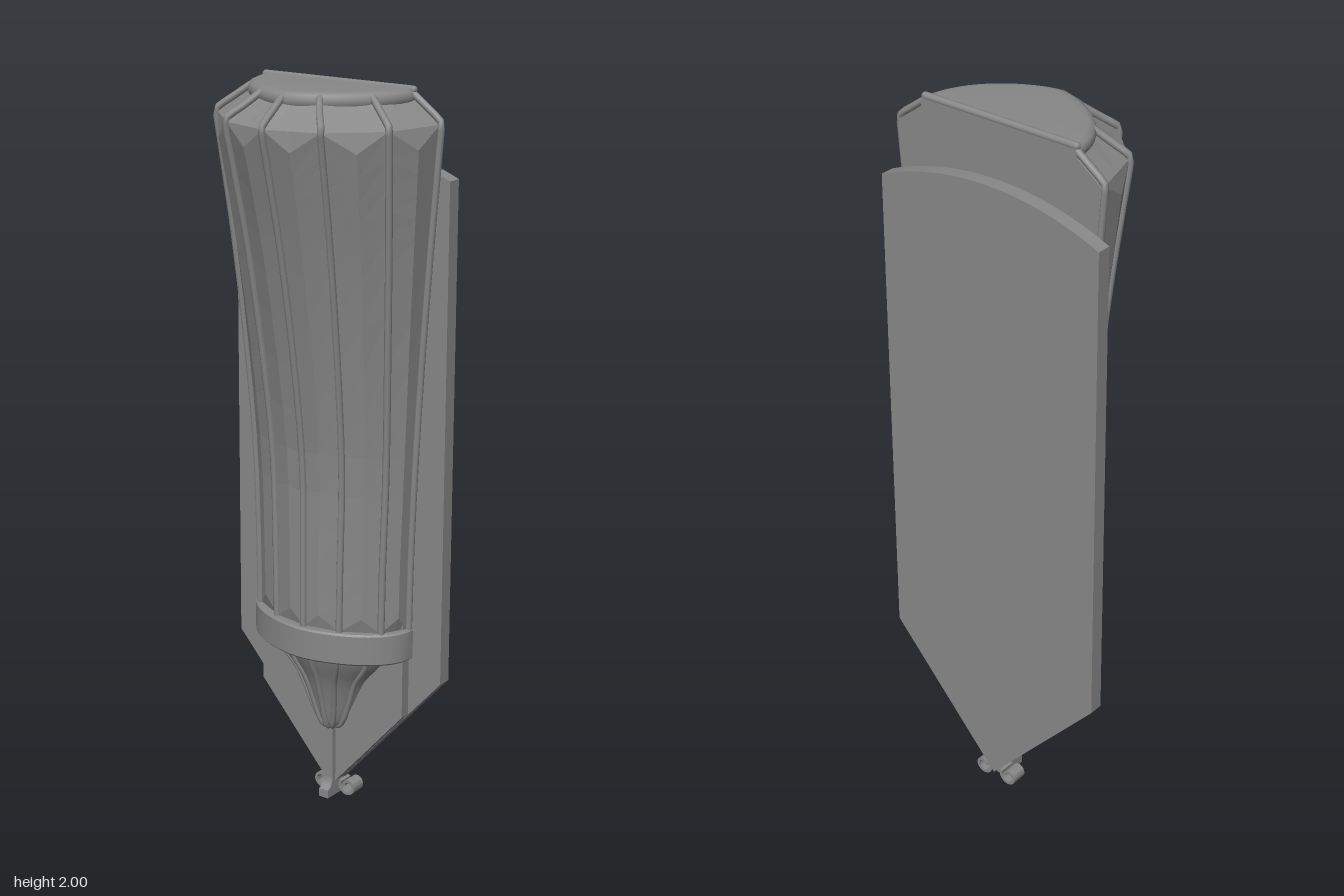
import * as THREE from 'three';
import { toCreasedNormals, mergeVertices } from 'three/addons/utils/BufferGeometryUtils.js';

const ZC = -0.14, BACK = -0.149;
const mat = new THREE.MeshStandardMaterial({ color: 0x888888 });

// Point on the bowed half-round plan; angle 0 is the left edge, PI/2 the front.
// A higher taper pulls the flanks in towards the middle.
function plan(a, rx, y, rz, taper = 1.2) {
  const c = Math.cos(a);
  return new THREE.Vector3(rx * Math.sign(c) * Math.abs(c) ** taper, y, ZC + rz * Math.sin(a));
}

// Half-round ring closed by a flat back; at(i) returns [rx, y, rz, taper]
function ring(n, at) {
  const pts = [];
  for (let i = 0; i <= n; i++) pts.push(plan((Math.PI * i) / n, ...at(i)));
  const first = pts[0].clone().setZ(BACK), last = pts[n].clone().setZ(BACK);
  return [first, ...pts, last];
}

// Skin closed rings from bottom to top and cap both ends
function loft(rings, crease) {
  const pos = [];
  const tri = (...v) => v.forEach((p) => pos.push(p.x, p.y, p.z));
  const n = rings[0].length;
  for (let k = 0; k < rings.length - 1; k++) {
    for (let i = 0; i < n; i++) {
      const j = (i + 1) % n, lo = rings[k], hi = rings[k + 1];
      tri(lo[i], hi[i], lo[j]);
      tri(lo[j], hi[i], hi[j]);
    }
  }
  const centre = (r) => r.reduce((s, p) => s.add(p), new THREE.Vector3()).divideScalar(n);
  const bottom = rings[0], top = rings[rings.length - 1];
  const cb = centre(bottom), ct = centre(top);
  for (let i = 0; i < n; i++) {
    const j = (i + 1) % n;
    tri(cb, bottom[i], bottom[j]);
    tri(ct, top[j], top[i]);
  }
  const g = new THREE.BufferGeometry();
  g.setAttribute('position', new THREE.Float32BufferAttribute(pos, 3));
  if (crease) return toCreasedNormals(mergeVertices(g), crease);
  g.computeVertexNormals();
  return g;
}

// Smooth half-round solid from a profile of [rx, y, rz, taper]
const halfRound = (profile, crease = 0.6) =>
  loft(profile.map((p) => ring(32, () => p)), crease);

const curve = (pts) => new THREE.CatmullRomCurve3(pts.map((p) => new THREE.Vector3(...p)), false, 'centripetal');

export function createModel() {
  const model = new THREE.Group();
  const add = (name, geometry, parent = model) => {
    const m = new THREE.Mesh(geometry, mat);
    m.name = name;
    parent.add(m);
  };
  const group = (name) => {
    const g = new THREE.Group();
    g.name = name;
    model.add(g);
    return g;
  };

  // Wall plate: pointed foot, straight sides, shallow arched head
  const plate = new THREE.Shape();
  plate.moveTo(0, 0.03);
  plate.lineTo(0.337, 0.41);
  plate.lineTo(0.337, 1.77);
  const R = (0.337 ** 2 + 0.07 ** 2) / 0.14, half = Math.asin(0.337 / R);
  plate.absarc(0, 1.84 - R, R, Math.PI / 2 - half, Math.PI / 2 + half, false);
  plate.lineTo(-0.337, 0.41);
  plate.closePath();
  add('wallPlate', new THREE.ExtrudeGeometry(plate, { depth: 0.04, bevelEnabled: false, curveSegments: 24 })
    .translate(0, 0, -0.19));

  // Narrower raised plate behind the shade
  const inner = new THREE.Shape([[0, 0.03], [0.235, 0.297], [0.235, 1.5], [-0.235, 1.5], [-0.235, 0.297]]
    .map((p) => new THREE.Vector2(...p)));
  add('raisedPlate', new THREE.ExtrudeGeometry(inner, { depth: 0.03, bevelEnabled: false }).translate(0, 0, -0.15));

  // Flared shade with ridged panels between the ribs
  const wall = curve([[0.237, 0.55, 0.147], [0.24, 0.75, 0.147], [0.249, 1.0, 0.15], [0.265, 1.3, 0.188],
    [0.286, 1.6, 0.243], [0.298, 1.75, 0.278], [0.311, 1.91, 0.318]]);
  const at = (t, f = 1) => {
    const p = wall.getPoint(t);
    return [p.x * f, p.y, p.z * f, 1.22 - 0.12 * t];
  };
  const flat = (rx, y, rz, taper) => ring(12, (i) => {
    const f = i % 2 ? 0.966 : 1;
    return [rx * f, y, rz * f, taper];
  });
  const shadeRings = [flat(0.235, 0.53, 0.145, 1.22), flat(...at(0))];
  for (let k = 0; k <= 14; k++) {
    const t = k / 14;
    shadeRings.push(ring(12, (i) => (i % 2 ? at(0.035 + t * 0.91, 1.025) : at(t))));
  }
  shadeRings.push(flat(...at(1)), flat(0.23, 1.97, 0.235, 1.35));
  add('shade', loft(shadeRings));

  // Flat lid with a rounded lip
  add('shadeLid', halfRound([[0.225, 1.945, 0.23, 1.35], [0.236, 1.963, 0.241, 1.35], [0.238, 1.975, 0.243, 1.35],
    [0.233, 1.987, 0.238, 1.35], [0.22, 1.993, 0.225, 1.35], [0.205, 1.994, 0.21, 1.35]], 0.9));

  // Lower cup, sweeping in to a rounded tip
  const cup = curve([[0.185, 0.475, 0.128], [0.165, 0.43, 0.112], [0.115, 0.37, 0.086], [0.082, 0.30, 0.064],
    [0.055, 0.245, 0.05], [0.036, 0.221, 0.041], [0.018, 0.213, 0.028]]);
  const cupRows = cup.getPoints(18).reverse().map((p) => [p.x, p.y, p.z]);
  add('lowerCup', halfRound(cupRows));

  // Ribs over the shade and the cup
  const shadeRibs = group('shadeRibs'), cupRibs = group('cupRibs');
  const shadePath = [[0.228, 1.982, 0.233, 1.35], [0.275, 1.948, 0.279, 1.22], [0.309, 1.922, 0.314, 1.1],
    [0.315, 1.913, 0.321, 1.1], [0.314, 1.9, 0.319, 1.1]];
  for (let k = 12; k >= 0; k--) shadePath.push(at((k / 13) * 0.98, 1.012));
  for (let i = 0; i <= 6; i++) {
    const a = (Math.PI * i) / 6;
    const tube = (path, r, seg) => new THREE.TubeGeometry(
      new THREE.CatmullRomCurve3(path.map((p) => plan(a, ...p)), false, 'centripetal'), seg, r, 8);
    add('shadeRib', tube(shadePath, 0.0095, 70), shadeRibs);
    add('cupRib', tube(cupRows, 0.008, 32), cupRibs);
  }
  // Bar along the back edge of the lid
  add('backBar', new THREE.CapsuleGeometry(0.01, 0.46, 4, 10).rotateZ(Math.PI / 2).translate(0, 1.99, ZC));

  // Collar between shade and cup
  add('collar', halfRound([[0.243, 0.463, 0.164], [0.248, 0.468, 0.169], [0.248, 0.547, 0.169], [0.243, 0.552, 0.164]]));

  // Stem with a forward-kicked foot, drawn in side profile (z, y)
  const stem = new THREE.Shape();
  stem.moveTo(-0.16, 0.005);
  stem.lineTo(-0.085, 0.005);
  stem.lineTo(-0.085, 0.028);
  stem.quadraticCurveTo(-0.105, 0.035, -0.107, 0.06);
  stem.lineTo(-0.107, 0.23);
  stem.lineTo(-0.16, 0.23);
  stem.closePath();
  add('stem', new THREE.ExtrudeGeometry(stem, { depth: 0.03, bevelEnabled: false })
    .rotateY(-Math.PI / 2).translate(0.015, 0, 0));

  // Pair of curled scrolls at the foot
  const scrolls = group('footScrolls');
  for (const s of [1, -1]) {
    const outer = [], innerEdge = [];
    for (let k = 0; k <= 32; k++) {
      const t = k / 32, a = Math.PI * (0.85 + 2.1 * t), r = 0.031 - 0.015 * t;
      const p = (q) => new THREE.Vector2(s * (0.044 + q * Math.cos(a)), 0.03 + q * Math.sin(a));
      outer.push(p(r));
      innerEdge.unshift(p(r - 0.008));
    }
    const shape = new THREE.Shape([...outer, ...innerEdge]);
    add('scroll', toCreasedNormals(new THREE.ExtrudeGeometry(shape, { depth: 0.045, bevelEnabled: false }), 0.6)
      .translate(0, 0, -0.182), scrolls);
  }
  return model;
}
